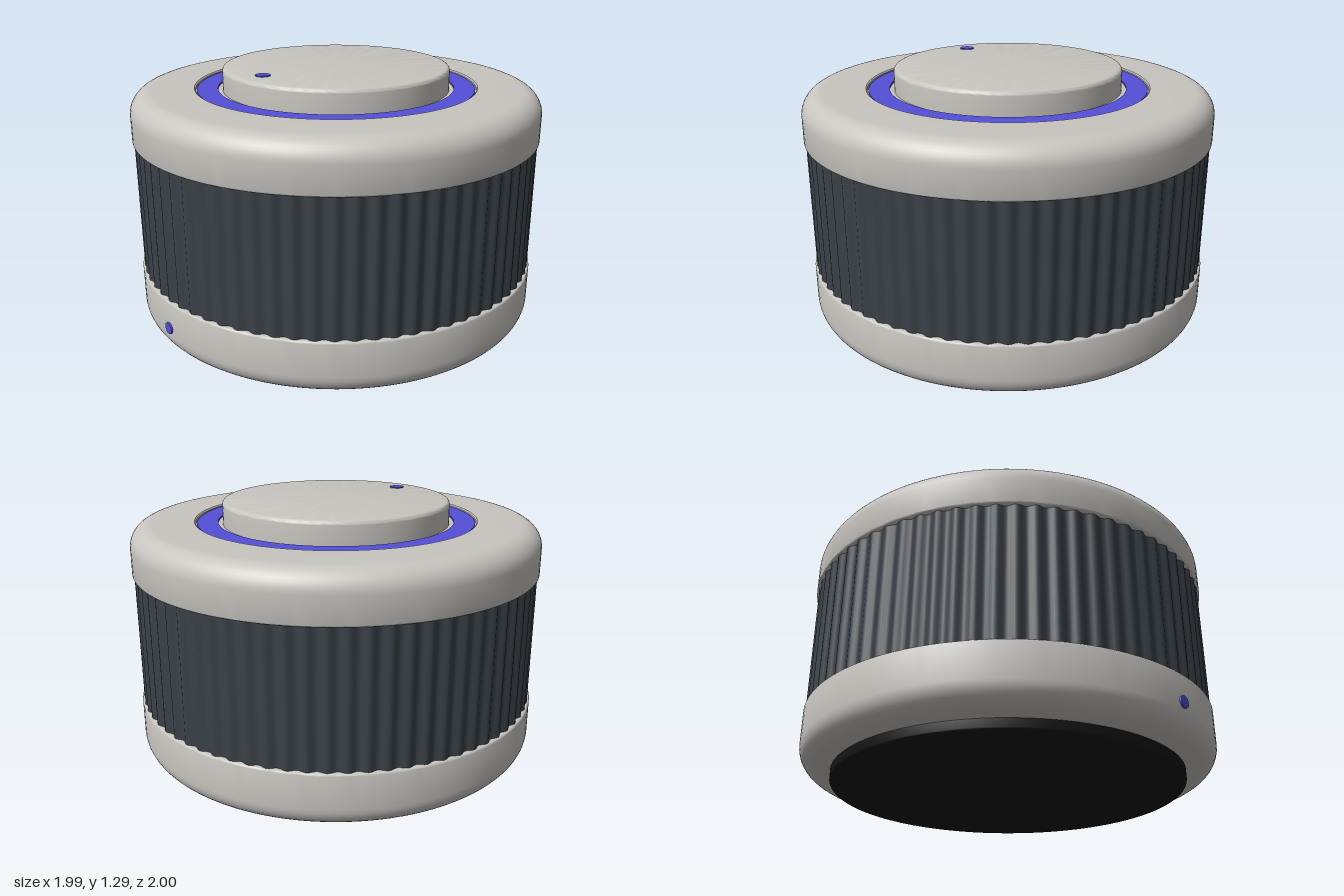
import * as THREE from 'three';
import { toCreasedNormals } from 'three/addons/utils/BufferGeometryUtils.js';

const mat = (name, color) => {
  const m = new THREE.MeshStandardMaterial({ color });
  m.name = name;
  return m;
};

// Quarter-circle fillet between two angles, as profile points
function fillet(cx, cy, r, a0, a1, n = 10) {
  return Array.from({ length: n + 1 }, (_, i) => {
    const a = a0 + ((a1 - a0) * i) / n;
    return [cx + r * Math.cos(a), cy + r * Math.sin(a)];
  });
}

// Turned part: profile runs from the bottom axis, outward and up
function turned(name, profile, material, segments = 128) {
  const pts = profile.map(([x, y]) => new THREE.Vector2(Math.max(x, 0), y));
  const geo = toCreasedNormals(new THREE.LatheGeometry(pts, segments), 0.6);
  const mesh = new THREE.Mesh(geo, material);
  mesh.name = name;
  return mesh;
}

export function createModel() {
  const shell = mat('warm grey shell', 0xc8c5c0);
  const fabric = mat('charcoal grille', 0x3a4147);
  const rubber = mat('black rubber', 0x151515);
  const blue = mat('indigo light', 0x5450d8);

  const group = new THREE.Group();
  const body = new THREE.Group();
  body.name = 'body';
  body.position.z = -0.004;
  group.add(body);

  const R = 0.994, Q = Math.PI / 2;

  // Rubber foot
  body.add(turned('foot', [
    [0, 0], ...fillet(0.833, 0.012, 0.012, -Q, 0, 4), [0.845, 0.06], [0, 0.06],
  ], rubber));

  // Lower shell with rounded bottom edge
  body.add(turned('lowerShell', [
    [0, 0.05], ...fillet(R - 0.1, 0.15, 0.1, -Q, 0),
    ...fillet(R - 0.008, 0.312, 0.008, 0, Q, 3), [0, 0.32],
  ], shell));

  // Ribbed grille: cylinder wall pushed in and out by a wave
  const ribs = 72;
  const wall = new THREE.CylinderGeometry(1, 1, 0.66, ribs * 8, 1, true);
  const p = wall.attributes.position;
  for (let i = 0; i < p.count; i++) {
    const a = Math.atan2(p.getX(i), p.getZ(i));
    const r = 0.977 + 0.008 * Math.cos(a * ribs);
    p.setXYZ(i, r * Math.sin(a), p.getY(i), r * Math.cos(a));
  }
  const grille = new THREE.Mesh(toCreasedNormals(wall, 1), fabric);
  grille.name = 'grille';
  grille.position.y = 0.64;
  body.add(grille);

  // Upper shell with rounded top edge and a shallow recess for the light ring
  body.add(turned('upperShell', [
    [0, 0.96], ...fillet(R - 0.008, 0.968, 0.008, -Q, 0, 3),
    ...fillet(R - 0.1, 1.09, 0.1, 0, Q),
    [0.688, 1.19], [0.682, 1.184], [0.682, 1.172], [0, 1.172],
  ], shell));

  // Light ring
  body.add(turned('lightRing', [
    [0.575, 1.165], [0.676, 1.165], [0.676, 1.181], [0.575, 1.181], [0.575, 1.165],
  ], blue));

  // Dial with softened rim
  body.add(turned('dial', [
    [0, 1.165], [0.552, 1.165], ...fillet(0.532, 1.265, 0.02, 0, Q, 6), [0, 1.285],
  ], shell));

  // Dial marker and front indicator
  const marker = new THREE.Mesh(new THREE.CylinderGeometry(0.035, 0.035, 0.009, 32), blue);
  marker.name = 'dialMarker';
  marker.position.set(0, 1.2855, 0.434);
  body.add(marker);

  const indicator = new THREE.Mesh(new THREE.CylinderGeometry(0.028, 0.028, 0.02, 32), blue);
  indicator.name = 'frontIndicator';
  indicator.rotation.x = Q;
  indicator.position.set(0, 0.185, 0.992);
  body.add(indicator);

  return group;
}
